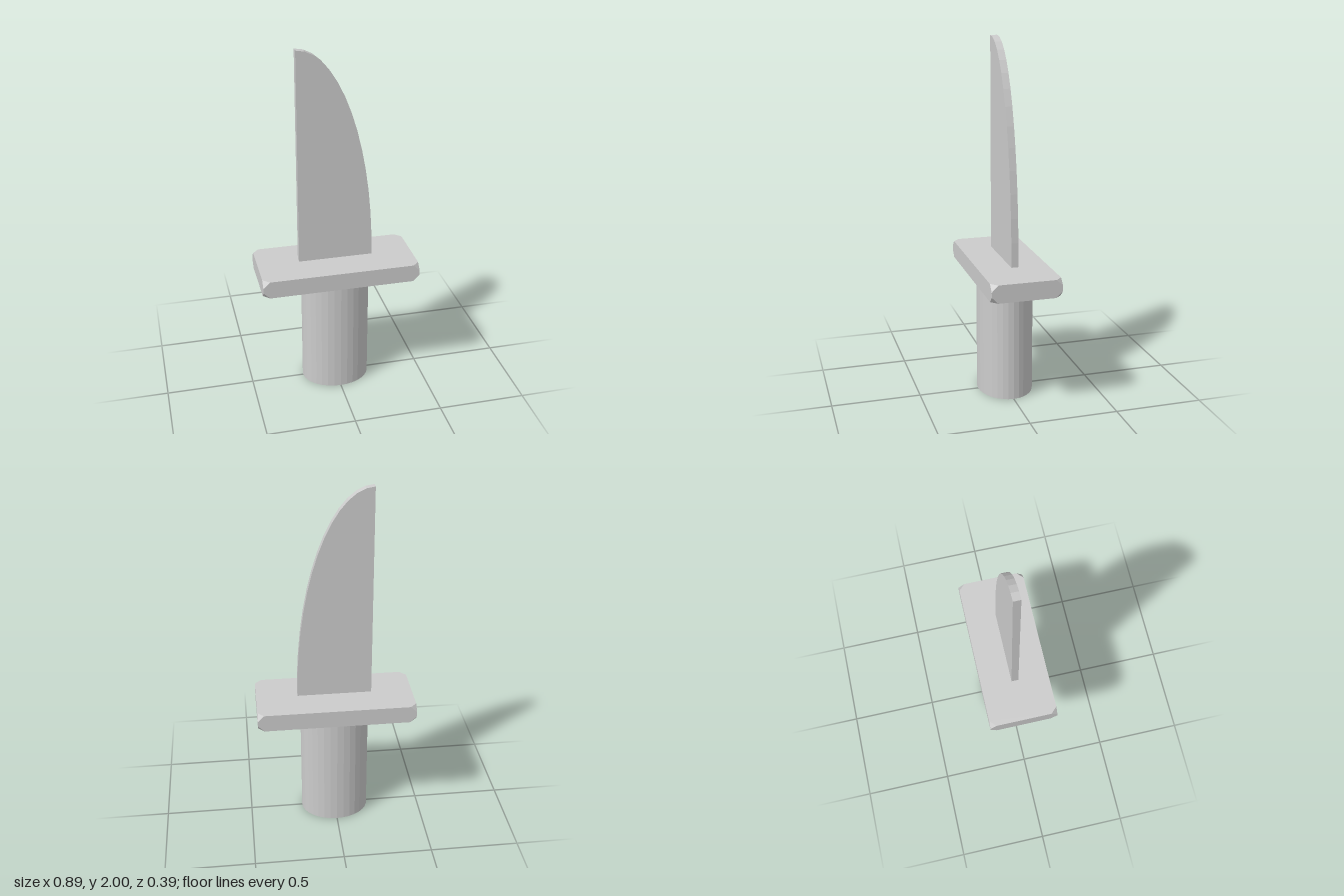
import * as THREE from 'three';
import { ConvexGeometry } from 'three/addons/geometries/ConvexGeometry.js';

export function createModel() {
  const model = new THREE.Group();
  model.name = 'knife';
  const grey = new THREE.MeshStandardMaterial({ name: 'grey', color: 0xcccccc, flatShading: true });

  function add(name, geometry, y) {
    const mesh = new THREE.Mesh(geometry, grey);
    mesh.name = name;
    mesh.position.y = y;
    model.add(mesh);
  }

  // Oval handle
  const handle = new THREE.CylinderGeometry(1, 1, 0.675, 32);
  handle.scale(0.195, 1, 0.157);
  add('handle', handle, 0.3375);

  // Guard: a box with its eight corners cut off
  const [hx, hy, hz, cut] = [0.444, 0.05, 0.195, 0.036];
  const corners = [];
  for (const sx of [-1, 1]) for (const sy of [-1, 1]) for (const sz of [-1, 1]) {
    corners.push(
      new THREE.Vector3(sx * (hx - cut), sy * hy, sz * hz),
      new THREE.Vector3(sx * hx, sy * (hy - cut), sz * hz),
      new THREE.Vector3(sx * hx, sy * hy, sz * (hz - cut)),
    );
  }
  add('guard', new ConvexGeometry(corners), 0.726);

  // Blade: a quarter ellipse with a straight spine, just above the guard
  const width = 0.42, height = 1.214, thickness = 0.04, steps = 14;
  const outline = new THREE.Shape();
  outline.moveTo(0, 0);
  for (let i = 0; i <= steps; i++) {
    const a = (i / steps) * Math.PI / 2;
    outline.lineTo(width * Math.cos(a), height * Math.sin(a));
  }
  outline.closePath();
  const blade = new THREE.ExtrudeGeometry(outline, { depth: thickness, bevelEnabled: false });
  blade.translate(-width / 2, 0, -thickness / 2);
  add('blade', blade, 0.786);

  return model;
}
